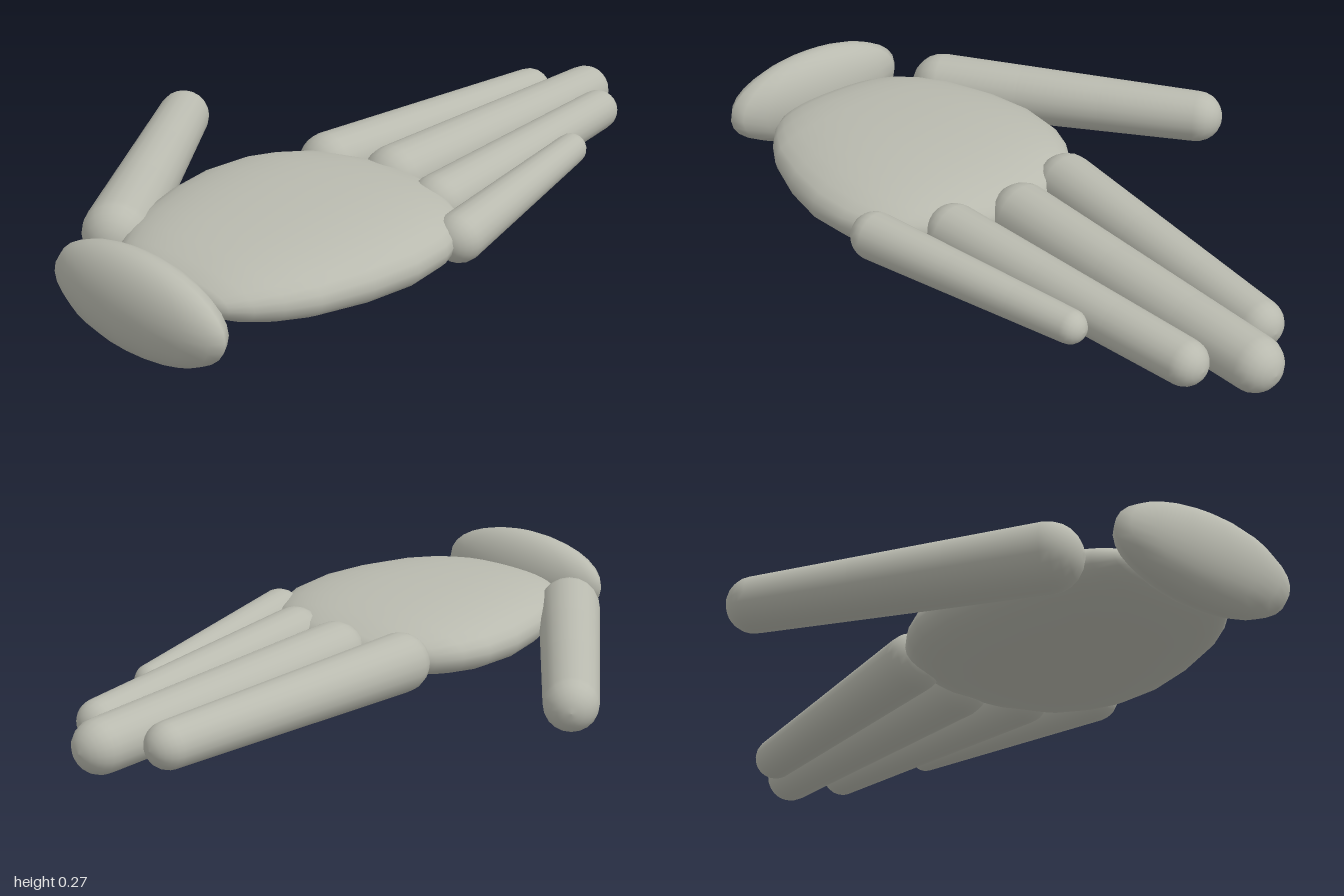
import * as THREE from 'three';

const skin = new THREE.MeshStandardMaterial({ color: 0xb9baaf });
skin.name = 'warm grey';
const MID = 0.136; // height of the hand's middle plane

// Tapered capsule with its axis on y, from a base joint (r0) to a tip joint (r1)
function boneGeometry(length, r0, r1) {
  const pts = [];
  for (let i = 0; i <= 6; i++) {
    const a = -Math.PI / 2 + (i / 6) * (Math.PI / 2);
    pts.push(new THREE.Vector2(Math.max(0, Math.cos(a) * r0), Math.sin(a) * r0));
  }
  for (let i = 0; i <= 6; i++) {
    const a = (i / 6) * (Math.PI / 2);
    pts.push(new THREE.Vector2(i === 6 ? 0 : Math.cos(a) * r1, length + Math.sin(a) * r1));
  }
  return new THREE.LatheGeometry(pts, 20);
}

// Finger of three bones between base and tip centres, given as [x, z]
function makeFinger(name, base, tip, r0, r1, joints) {
  const finger = new THREE.Group();
  finger.name = name;
  const a = new THREE.Vector3(base[0], MID, base[1]);
  const b = new THREE.Vector3(tip[0], MID, tip[1]);
  const dir = b.clone().sub(a).normalize();
  const stops = [0, ...joints, 1];
  const names = ['lowerBone', 'middleBone', 'tipBone'];
  for (let i = 0; i < 3; i++) {
    const [t0, t1] = [stops[i], stops[i + 1]];
    const radius = t => THREE.MathUtils.lerp(r0, r1, t);
    const geo = boneGeometry(a.distanceTo(b) * (t1 - t0), radius(t0), radius(t1));
    const bone = new THREE.Mesh(geo, skin);
    bone.name = names[i];
    bone.position.lerpVectors(a, b, t0);
    bone.quaternion.setFromUnitVectors(new THREE.Vector3(0, 1, 0), dir);
    finger.add(bone);
  }
  return finger;
}

// Flattened, rounded palm lofted from cross-sections along z
function palmGeometry() {
  // z, half width, half height
  const sections = [
    [-0.04, 0, 0], [-0.03, 0.1, 0.03], [0, 0.2, 0.054], [0.07, 0.305, 0.077],
    [0.14, 0.35, 0.089], [0.22, 0.38, 0.098], [0.34, 0.39, 0.103], [0.48, 0.37, 0.099],
    [0.62, 0.328, 0.088], [0.7, 0.285, 0.077], [0.76, 0.24, 0.063], [0.8, 0.195, 0.046],
    [0.822, 0.155, 0.028], [0.826, 0, 0],
  ];
  const n = 32, pos = [], idx = [];
  const bulge = v => Math.sign(v) * Math.pow(Math.abs(v), 0.86);
  sections.forEach(([z, w, h], i) => {
    for (let j = 0; j < n; j++) {
      const a = (j / n) * Math.PI * 2;
      pos.push(w * bulge(Math.cos(a)), h * bulge(Math.sin(a)), z);
      if (i === sections.length - 1) continue;
      const p = i * n + j, q = i * n + (j + 1) % n;
      idx.push(p, q, p + n, q, q + n, p + n);
    }
  });
  const geo = new THREE.BufferGeometry();
  geo.setAttribute('position', new THREE.Float32BufferAttribute(pos, 3));
  geo.setIndex(idx);
  geo.computeVertexNormals();
  return geo;
}

export function createModel() {
  const hand = new THREE.Group();
  hand.name = 'hand';

  const palm = new THREE.Mesh(palmGeometry(), skin);
  palm.name = 'palm';
  palm.position.set(0.222, MID, 0);
  hand.add(palm);

  // Wrist: wide flattened ball
  const wrist = new THREE.Mesh(new THREE.SphereGeometry(1, 16, 16), skin);
  wrist.name = 'wrist';
  wrist.scale.set(0.295, 0.134, 0.086);
  wrist.position.set(0.223, MID, 0.91);
  hand.add(wrist);

  // Thumb and four fingers
  hand.add(
    makeFinger('thumb', [-0.1, 0.695], [-0.55, 0.047], 0.092, 0.075, [0.32, 0.64]),
    makeFinger('indexFinger', [-0.007, 0], [0.063, -0.817], 0.085, 0.063, [0.42, 0.73]),
    makeFinger('middleFinger', [0.19, -0.05], [0.19, -0.927], 0.088, 0.073, [0.43, 0.745]),
    makeFinger('ringFinger', [0.385, 0], [0.315, -0.817], 0.078, 0.06, [0.42, 0.73]),
    makeFinger('littleFinger', [0.557, 0.12], [0.43, -0.528], 0.067, 0.045, [0.42, 0.74]),
  );
  return hand;
}
